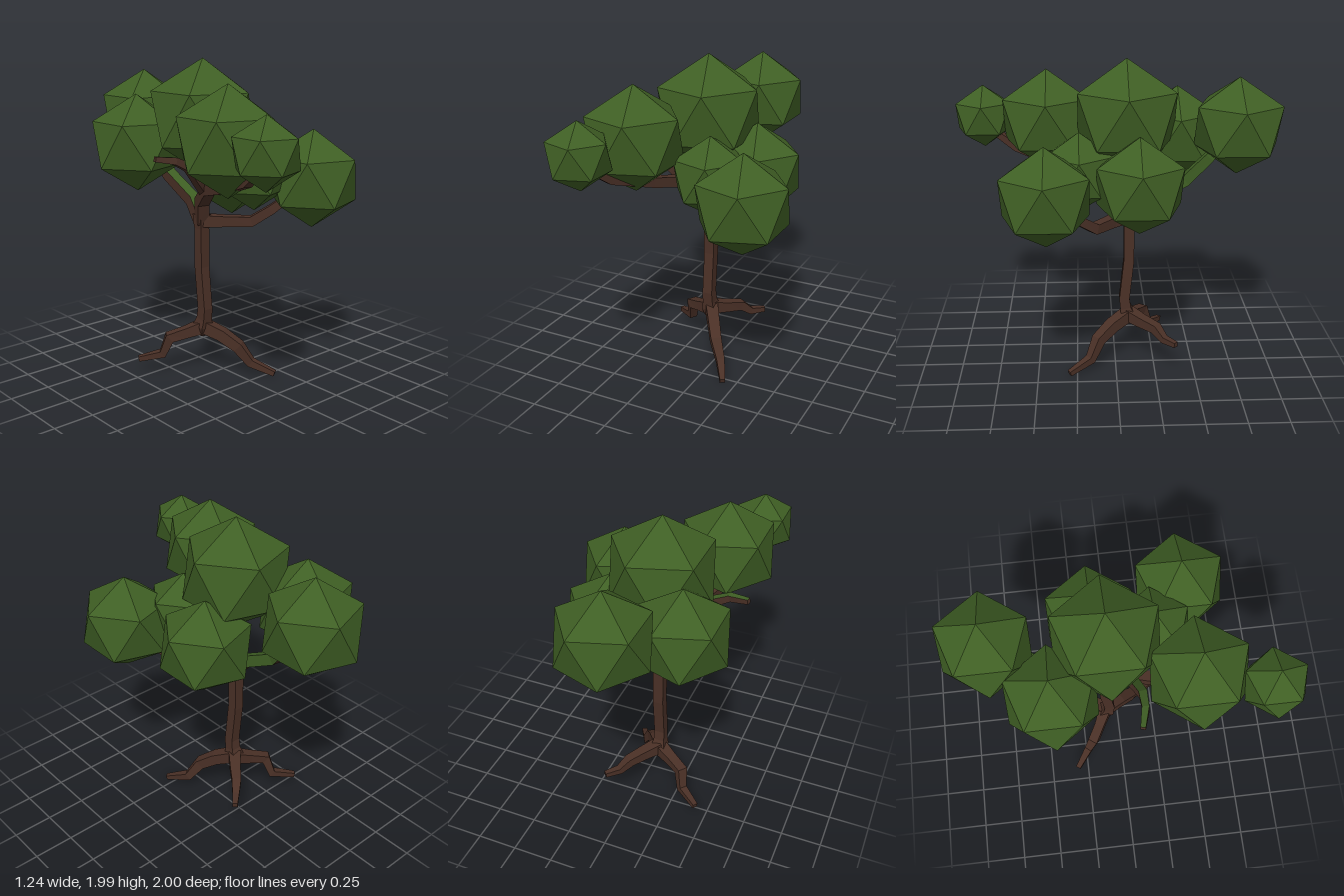
import * as THREE from 'three';

const bark = new THREE.MeshStandardMaterial({ color: 0x4a3026, flatShading: true });
bark.name = 'bark brown';
const leaf = new THREE.MeshStandardMaterial({ color: 0x3f5f24, flatShading: true });
leaf.name = 'leaf green';

// Four-sided limb swept along points [x, y, z, halfWidth]; mossy lists green sides
// (0 = top, 1 = right of the direction of growth, 2 = underside, 3 = left)
function limb(name, points, mossy = [], sideAxis = null) {
  const p = points.map(q => new THREE.Vector3(q[0], q[1], q[2]));
  const last = p.length - 1;
  const run = p[last].clone().sub(p[0]);
  const side = sideAxis || new THREE.Vector3(0, 1, 0).cross(run).normalize();

  const rings = p.map((c, i) => {
    const before = c.clone().sub(p[Math.max(i - 1, 0)]).normalize();
    const after = p[Math.min(i + 1, last)].clone().sub(c).normalize();
    const t = before.add(after).normalize();
    const s = side.clone().addScaledVector(t, -side.dot(t)).normalize();
    const n = t.clone().cross(s);
    const h = points[i][3];
    return [[1, 1], [-1, 1], [-1, -1], [1, -1]].map(([a, b]) =>
      c.clone().addScaledVector(s, a * h).addScaledVector(n, b * h));
  });

  const positions = [];
  const geometry = new THREE.BufferGeometry();
  const quad = (a, b, c, d) => [a, b, c, a, c, d].forEach(v => positions.push(v.x, v.y, v.z));
  for (let k = 0; k < 4; k++) {
    const start = positions.length / 3;
    const j = (k + 1) % 4;
    for (let i = 0; i < last; i++) quad(rings[i][k], rings[i][j], rings[i + 1][j], rings[i + 1][k]);
    geometry.addGroup(start, positions.length / 3 - start, mossy.includes(k) ? 1 : 0);
  }
  // End caps
  const capStart = positions.length / 3;
  quad(...rings[last]);
  quad(...rings[0].slice().reverse());
  geometry.addGroup(capStart, 12, 0);

  geometry.setAttribute('position', new THREE.Float32BufferAttribute(positions, 3));
  geometry.computeVertexNormals();
  const mesh = new THREE.Mesh(geometry, [bark, leaf]);
  mesh.name = name;
  return mesh;
}

export function createModel() {
  const tree = new THREE.Group();
  tree.name = 'tree';

  // Trunk, flared slightly at both ends
  tree.add(limb('trunk', [
    [-0.1, 0.25, -0.09, 0.03], [-0.1, 0.31, -0.085, 0.045], [-0.1, 0.36, -0.07, 0.035],
    [-0.1, 0.43, -0.062, 0.033], [-0.1, 0.7, -0.09, 0.033], [-0.1, 0.95, -0.09, 0.033],
    [-0.1, 1.04, -0.09, 0.04],
  ], [], new THREE.Vector3(1, 0, 0)));

  // Roots
  tree.add(limb('frontRoot', [
    [-0.1, 0.31, -0.09, 0.04], [-0.03, 0.26, 0.02, 0.037], [0.03, 0.19, 0.11, 0.034],
    [0.09, 0.08, 0.165, 0.026], [0.17, 0.025, 0.3, 0.016],
  ]));
  tree.add(limb('rightRoot', [
    [-0.1, 0.3, -0.09, 0.04], [-0.2, 0.27, -0.14, 0.032], [-0.29, 0.245, -0.19, 0.032],
    [-0.315, 0.13, -0.23, 0.025], [-0.44, 0.1, -0.32, 0.016],
  ]));
  tree.add(limb('backRoot', [
    [-0.1, 0.31, -0.09, 0.04], [-0.03, 0.29, -0.17, 0.034], [0.04, 0.27, -0.26, 0.03],
    [0.09, 0.215, -0.31, 0.022], [0.16, 0.21, -0.38, 0.016],
  ]));

  // Branches
  tree.add(limb('leftBranch', [
    [-0.1, 1.0, -0.09, 0.037], [0, 1.0, 0.02, 0.033], [0.12, 1.0, 0.13, 0.031],
    [0.19, 1.08, 0.23, 0.028], [0.33, 1.25, 0.4, 0.02],
  ]));
  tree.add(limb('frontBranch', [
    [-0.1, 0.99, -0.09, 0.037], [-0.13, 1.13, -0.05, 0.037], [-0.19, 1.23, 0.08, 0.034],
    [-0.28, 1.29, 0.33, 0.03], [-0.38, 1.38, 0.62, 0.025], [-0.43, 1.5, 0.8, 0.018],
  ]));
  tree.add(limb('rightTwig', [
    [-0.16, 1.2, 0.03, 0.03], [-0.27, 1.3, 0.08, 0.027], [-0.36, 1.39, 0.11, 0.025],
    [-0.46, 1.44, 0.11, 0.021], [-0.58, 1.46, 0.08, 0.015],
  ], [0]));
  tree.add(limb('backBranch', [
    [-0.1, 0.99, -0.09, 0.037], [-0.08, 1.11, -0.2, 0.036], [-0.08, 1.24, -0.44, 0.034],
    [-0.04, 1.4, -0.58, 0.03], [-0.035, 1.55, -0.7, 0.02],
  ], [0, 1]));

  // Leaf clumps, each an icosahedron standing on a corner: [x, y, z, radius]
  const clump = new THREE.IcosahedronGeometry(1, 0);
  clump.rotateZ(-Math.atan(2 / (1 + Math.sqrt(5))));
  const clumps = [
    [-0.1, 1.645, -0.072, 0.35],
    [-0.04, 1.59, -0.745, 0.3],
    [-0.352, 1.475, -0.405, 0.3],
    [0.193, 1.29, -0.137, 0.3],
    [0.35, 1.28, 0.418, 0.302],
    [0.052, 1.34, 0.22, 0.245],
    [-0.333, 1.572, 0.418, 0.318],
    [-0.437, 1.57, 0.826, 0.2],
  ];
  const foliage = new THREE.Group();
  foliage.name = 'foliage';
  clumps.forEach(([x, y, z, r], i) => {
    const mesh = new THREE.Mesh(clump, leaf);
    mesh.name = `leafClump${i + 1}`;
    mesh.position.set(x, y, z);
    mesh.scale.setScalar(r);
    foliage.add(mesh);
  });
  tree.add(foliage);

  return tree;
}
